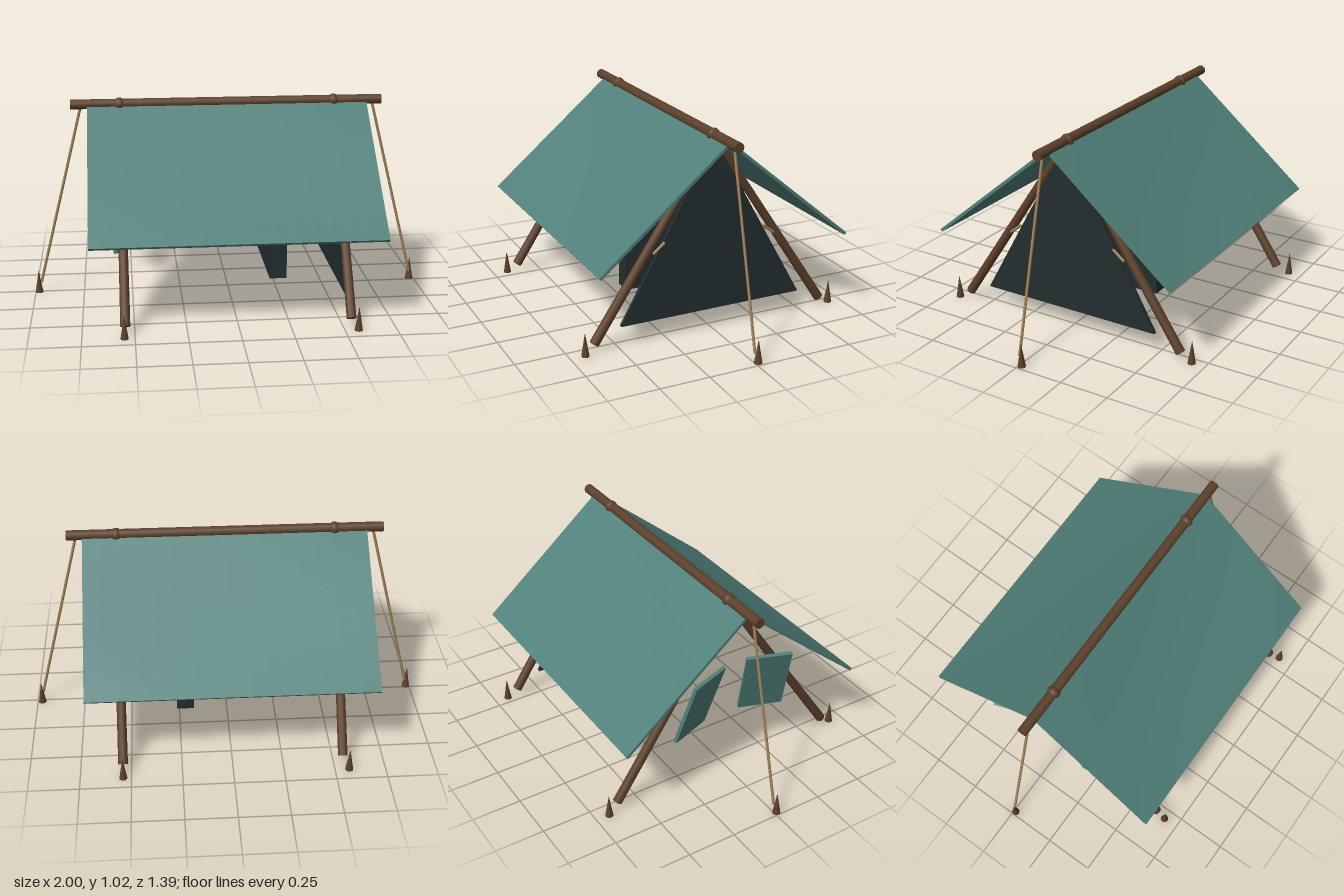
import * as THREE from 'three';

const mat = (name, color) => {
  const m = new THREE.MeshStandardMaterial({ color });
  m.name = name;
  return m;
};

export function createModel() {
  const group = new THREE.Group();
  const canvas = mat('teal canvas', 0x51807a);
  const dark = mat('dark canvas', 0x232e2f);
  const wood = mat('brown wood', 0x5c402b);
  const rope = mat('tan rope', 0xa08259);

  const add = (name, geo, material, x = 0, y = 0, z = 0) => {
    const m = new THREE.Mesh(geo, material);
    m.name = name;
    m.position.set(x, y, z);
    group.add(m);
    return m;
  };

  // Round bar between two points
  const bar = (name, a, b, rA, rB, material, sides = 12) => {
    const from = new THREE.Vector3(...a), to = new THREE.Vector3(...b);
    const dir = to.clone().sub(from);
    const m = add(name, new THREE.CylinderGeometry(rB, rA, dir.length(), sides), material);
    m.position.copy(from).add(to).multiplyScalar(0.5);
    m.quaternion.setFromUnitVectors(new THREE.Vector3(0, 1, 0), dir.normalize());
    return m;
  };

  // Ridge pole with lashing knots
  bar('ridgePole', [-0.79, 0.985, 0], [0.785, 0.985, 0], 0.025, 0.025, wood, 16);
  for (const x of [-0.545, 0.54]) {
    add('ridgeKnot', new THREE.SphereGeometry(0.033, 16, 10), wood, x, 0.983, 0).scale.x = 0.9;
  }

  // Roof sheets, sagging slightly between their edges
  const slope = Math.atan2(0.545, 0.65), length = 0.85, width = 1.414;
  for (const side of [1, -1]) {
    const geo = new THREE.BoxGeometry(width, 0.015, length, 16, 1, 10);
    const p = geo.attributes.position;
    for (let i = 0; i < p.count; i++) {
      const across = Math.cos(Math.PI * p.getX(i) / width);
      const along = Math.cos(Math.PI * p.getZ(i) / length);
      p.setY(i, p.getY(i) - 0.016 * across * along);
    }
    geo.computeVertexNormals();
    const roof = add('roofSheet', geo, canvas, 0, 0.71, side * 0.327);
    roof.rotation.x = side * slope;
  }

  // Crossed legs at both ends
  for (const x of [-0.545, 0.54]) {
    for (const side of [1, -1]) {
      bar('leg', [x, 0.04, side * 0.62], [x, 0.97, side * 0.003], 0.024, 0.02, wood);
    }
  }

  // Closed end wall
  const tri = new THREE.Shape([[-0.485, 0.105], [0.485, 0.105], [0, 0.97]]
    .map(([a, b]) => new THREE.Vector2(a, b)));
  const wall = add('endWall',
    new THREE.ExtrudeGeometry(tri, { depth: 0.02, bevelEnabled: false }), dark, 0.535, 0, 0);
  wall.rotation.y = Math.PI / 2;

  // Inner partition
  add('innerPartition', new THREE.BoxGeometry(0.085, 0.45, 0.66), dark, 0.222, 0.375, 0);

  // Open door flaps and wall ties
  for (const side of [1, -1]) {
    const flap = add('doorFlap', new THREE.BoxGeometry(0.018, 0.39, 0.225), canvas,
      -0.6, 0.485, side * 0.19);
    flap.rotation.set(0, -side * 0.34, 0.31);
    bar('wallTie', [0.567, 0.5, side * 0.265], [0.567, 0.452, side * 0.325], 0.007, 0.007, rope, 8);
  }

  // Guy ropes at the ridge ends
  for (const side of [1, -1]) {
    bar('guyRope', [side * 0.74, 0.97, 0], [side * 0.97, 0.05, 0], 0.007, 0.007, rope, 8);
  }

  // Ground pegs
  const pegs = [[-0.982, 0.01], [0.976, -0.015], [-0.57, -0.68], [0.54, -0.68],
    [-0.55, 0.675], [0.565, 0.675]];
  for (const [x, z] of pegs) {
    add('groundPeg', new THREE.ConeGeometry(0.02, 0.12, 10), wood, x, 0.06, z);
  }

  return group;
}
